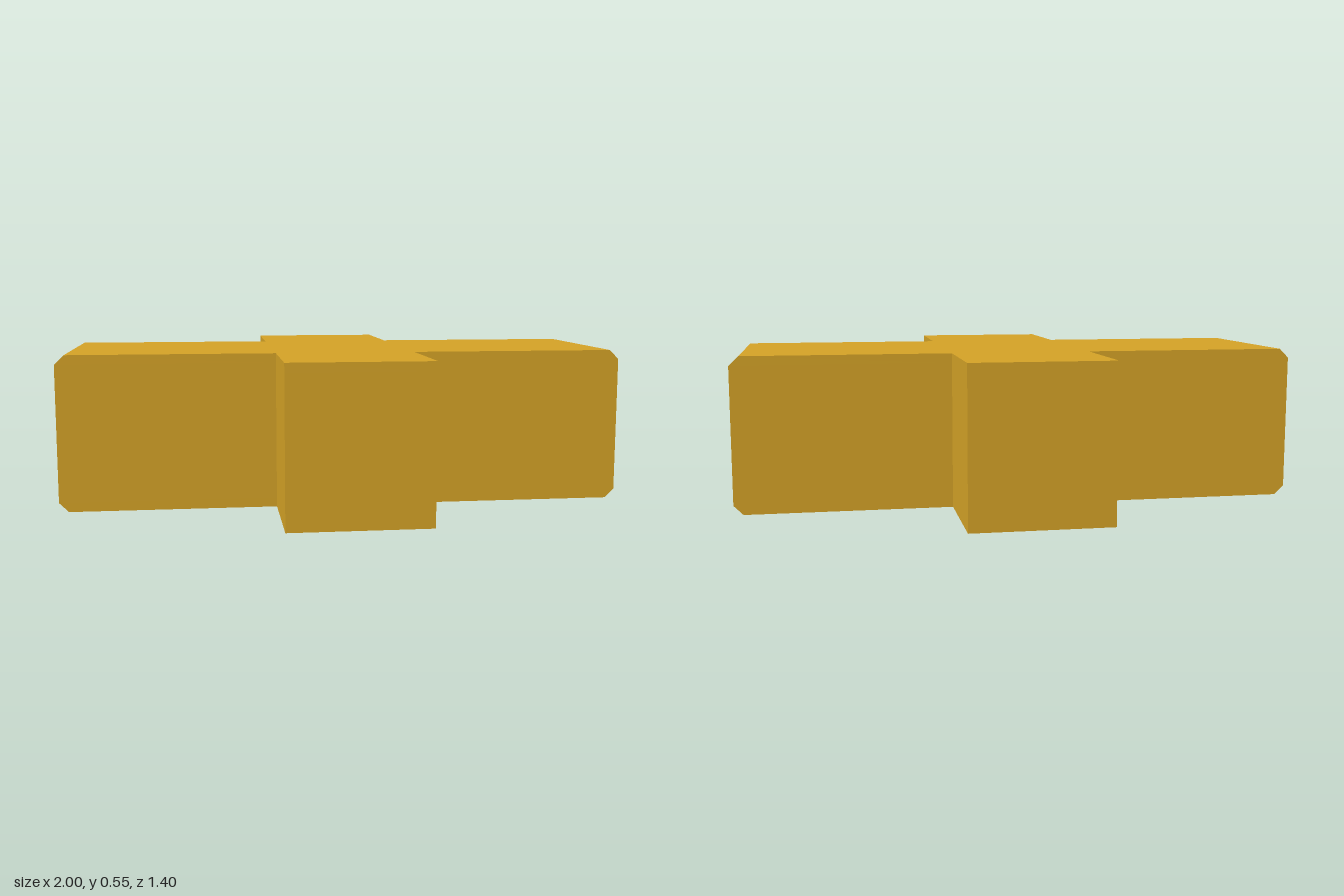
import * as THREE from 'three';

const HEIGHT = 0.545;
const CHAMFER = 0.033;
const BAR = { x: 1, z: 0.315 };   // half sizes of the long bar
const ARM = { x: 0.245, z: 0.7 }; // half sizes of the short cross arms

// Plus-shaped outline, counter-clockwise
function crossShape() {
  return new THREE.Shape([
    [BAR.x, -BAR.z], [BAR.x, BAR.z], [ARM.x, BAR.z], [ARM.x, ARM.z],
    [-ARM.x, ARM.z], [-ARM.x, BAR.z], [-BAR.x, BAR.z], [-BAR.x, -BAR.z],
    [-ARM.x, -BAR.z], [-ARM.x, -ARM.z], [ARM.x, -ARM.z], [ARM.x, -BAR.z],
  ].map(([x, y]) => new THREE.Vector2(x, y)));
}

export function createModel() {
  const group = new THREE.Group();
  group.name = 'crossBlock';

  // Three layers: lower chamfer band, straight wall, upper chamfer band
  const geometry = new THREE.ExtrudeGeometry(crossShape(), {
    depth: 3, steps: 3, bevelEnabled: false,
  });
  geometry.rotateX(-Math.PI / 2);

  // Set the layer heights and pull in the top and bottom edges of the bar ends
  const levels = [0, CHAMFER, HEIGHT - CHAMFER, HEIGHT];
  const pos = geometry.attributes.position;
  for (let i = 0; i < pos.count; i++) {
    const layer = Math.round(pos.getY(i));
    const x = pos.getX(i);
    const outer = layer === 0 || layer === 3;
    if (outer && Math.abs(x) > 0.9) pos.setX(i, Math.sign(x) * (BAR.x - CHAMFER));
    pos.setY(i, levels[layer]);
  }
  geometry.computeVertexNormals();

  const material = new THREE.MeshStandardMaterial({ color: 0xd4a226, flatShading: true });
  const body = new THREE.Mesh(geometry, material);
  body.name = 'crossBody';
  group.add(body);
  return group;
}
